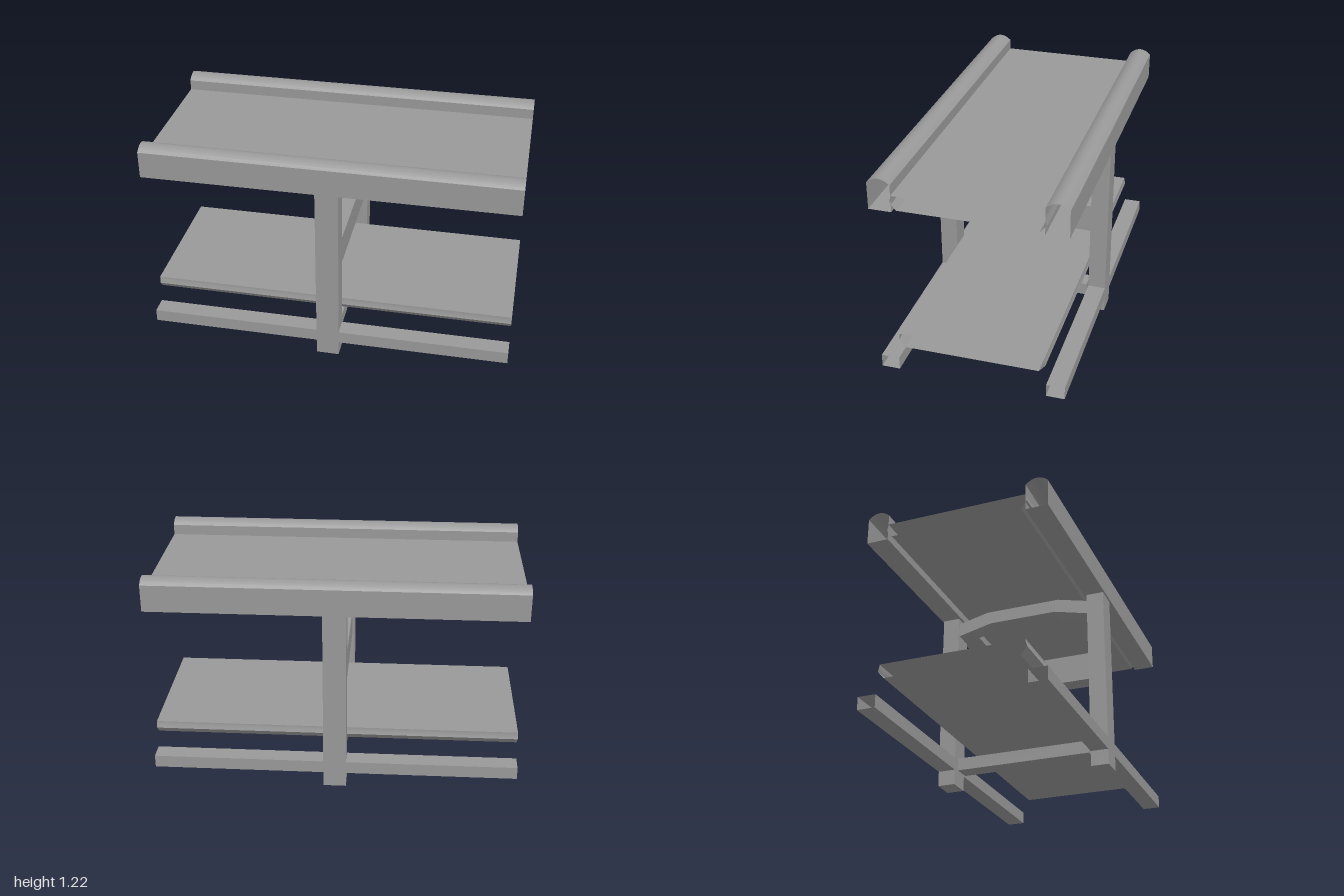
import * as THREE from 'three';
import { toCreasedNormals } from 'three/addons/utils/BufferGeometryUtils.js';

const metal = new THREE.MeshStandardMaterial({ color: 0x999999, side: THREE.DoubleSide });

// Open-ended length along x from a closed [z, y] profile, clockwise with z to the right
function section(profile) {
  const pos = [];
  profile.forEach(([z0, y0], i) => {
    const [z1, y1] = profile[(i + 1) % profile.length];
    pos.push(-1, y0, z0, -1, y1, z1, 1, y1, z1, -1, y0, z0, 1, y1, z1, 1, y0, z0);
  });
  const g = new THREE.BufferGeometry();
  g.setAttribute('position', new THREE.Float32BufferAttribute(pos, 3));
  return toCreasedNormals(g, 0.65);
}

export function createModel() {
  const model = new THREE.Group();
  const add = (name, geometry) => {
    const mesh = new THREE.Mesh(geometry, metal);
    mesh.name = name;
    model.add(mesh);
    return mesh;
  };
  const box = (name, w, y0, y1, z0, z1) =>
    add(name, new THREE.BoxGeometry(w, y1 - y0, z1 - z0))
      .position.set(0, (y0 + y1) / 2, (z0 + z1) / 2);

  // Legs, floor beams and domed rails on both long sides
  for (const [side, s] of [['front', 1], ['back', -1]]) {
    const zMin = s * 0.448 - 0.049, zMax = s * 0.448 + 0.049;
    box(side + 'Foot', 0.125, 0, 0.085, zMin, zMax);
    box(side + 'Post', 0.125, 0.155, 1.04, zMin, zMax);
    add(side + 'Beam', section([[zMin, 0.155], [zMax, 0.155], [zMax, 0.085], [zMin, 0.085]]));

    const mid = s * 0.446, half = 0.06, rail = [[mid - half, 1.04]];
    for (let i = 0; i <= 8; i++) {
      const t = i / 4 - 1;
      rail.push([mid + half * t, 1.215 - 0.028 * t * t]);
    }
    rail.push([mid + half, 1.04]);
    add(side + 'Rail', section(rail));
  }

  // Shelves with a flared ridge and undercut along each long edge
  for (const [name, top] of [['upperShelf', 1.13], ['lowerShelf', 0.313]]) {
    const edge = [[0.387, top], [0.387, top - 0.012], [0.394, top - 0.038], [0.36, top - 0.078]];
    const mirrored = edge.map(([z, y]) => [-z, y]).reverse();
    add(name, section([...edge, ...mirrored]));
  }

  // Straight cross members
  box('lowerCrossbar', 0.1, 0.083, 0.153, -0.385, 0.385);
  box('middleCrossbar', 0.1, 0.518, 0.676, -0.4, 0.4);

  // Arched brace under the upper shelf
  const line = [[-0.4, 0.928], [-0.2, 0.977], [0.2, 0.977], [0.4, 0.928]];
  const outline = [...line, ...line.map(([z, y]) => [z, y + 0.08]).reverse()];
  const shape = new THREE.Shape(outline.map(([z, y]) => new THREE.Vector2(z, y)));
  const arch = new THREE.ExtrudeGeometry(shape, { depth: 0.1, bevelEnabled: false });
  arch.translate(0, 0, -0.05).rotateY(Math.PI / 2);
  add('archedBrace', arch);

  return model;
}
